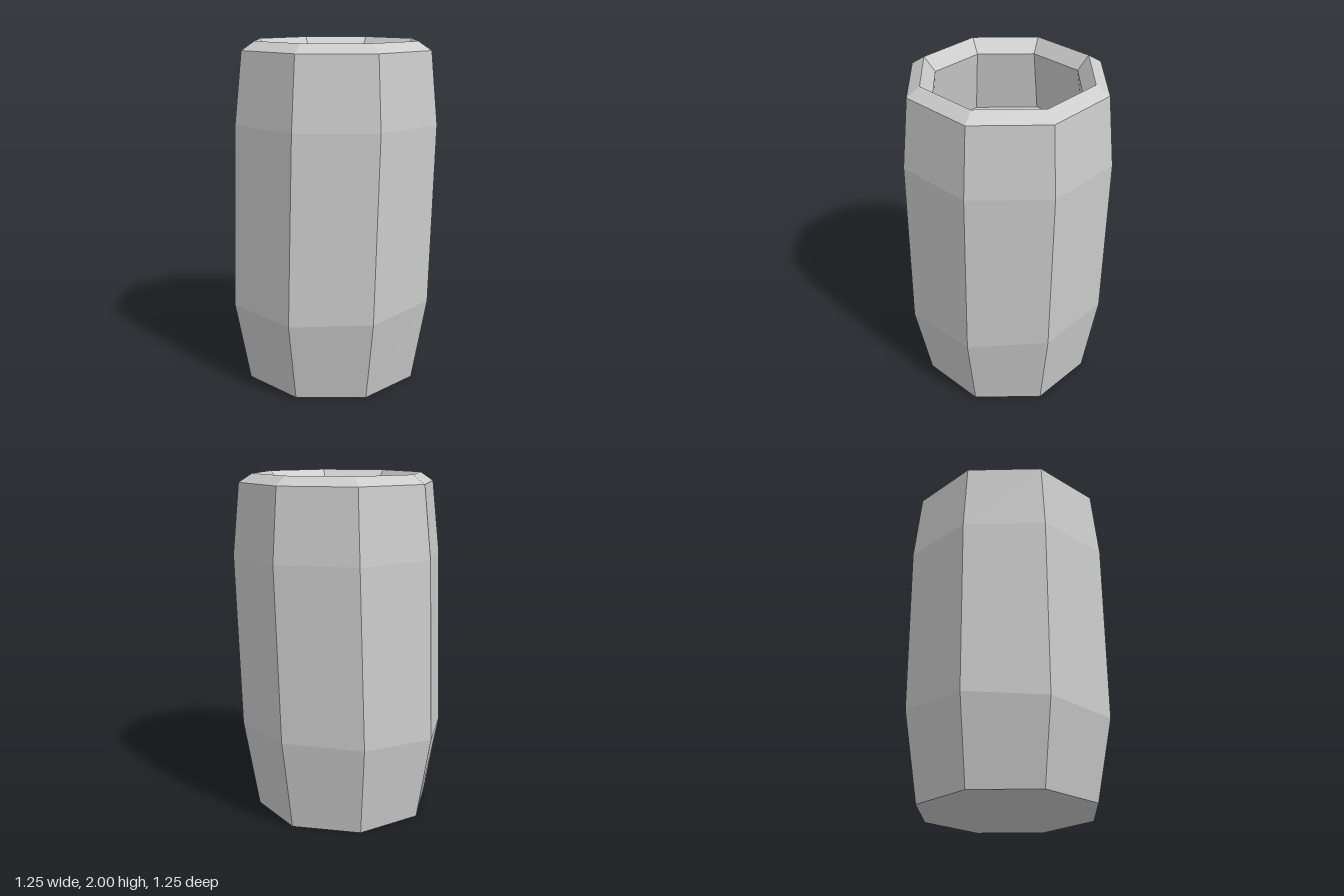
import * as THREE from 'three';

const SIDES = 8;

// Corner i of an octagonal ring [y, radius, centreX, centreZ, tiltZ]
function corner([y, r, cx, cz, tilt = 0], i) {
  const a = (i % SIDES) / SIDES * Math.PI * 2;
  const z = r * Math.cos(a);
  return [cx + r * Math.sin(a), y + tilt * z, cz + z];
}

// Skin joining successive rings, optionally closed at the first or last ring
function loft(name, rings, capStart, capEnd) {
  const pos = [];
  const tri = (...pts) => pts.forEach((p) => pos.push(...p));
  for (let i = 0; i < SIDES; i++) {
    for (let k = 0; k < rings.length - 1; k++) {
      const a = corner(rings[k], i), b = corner(rings[k], i + 1);
      const c = corner(rings[k + 1], i + 1), d = corner(rings[k + 1], i);
      tri(a, b, c);
      tri(a, c, d);
    }
    if (capStart) {
      const [y, , x, z] = rings[0];
      tri([x, y, z], corner(rings[0], i + 1), corner(rings[0], i));
    }
    if (capEnd) {
      const last = rings[rings.length - 1];
      tri([last[2], last[0], last[3]], corner(last, i), corner(last, i + 1));
    }
  }
  const geometry = new THREE.BufferGeometry();
  geometry.setAttribute('position', new THREE.Float32BufferAttribute(pos, 3));
  geometry.computeVertexNormals();
  const mesh = new THREE.Mesh(geometry, new THREE.MeshStandardMaterial({ color: 0xcccccc, flatShading: true }));
  mesh.name = name;
  return mesh;
}

export function createModel() {
  const group = new THREE.Group();
  group.name = 'barrel';

  const shoulder = [1.95, 0.57, 0.01, -0.008];
  const rimTop = [2, 0.493, 0.01, -0.006];
  const lip = [1.92, 0.428, 0.007, -0.005];

  // Bulging outer wall with a flat base, slightly leaning
  group.add(loft('outerWall', [
    [0, 0.525, -0.017, 0.01],
    [0.5, 0.613, -0.015, 0.013, -0.06],
    [1.54, 0.613, 0.008, -0.006],
    shoulder,
  ], true, false));

  // Bevelled rim
  group.add(loft('rim', [shoulder, rimTop, lip], false, false));

  // Recess widening below the lip down to its floor
  group.add(loft('recess', [lip, [1.55, 0.48, -0.003, -0.008]], false, true));

  return group;
}
